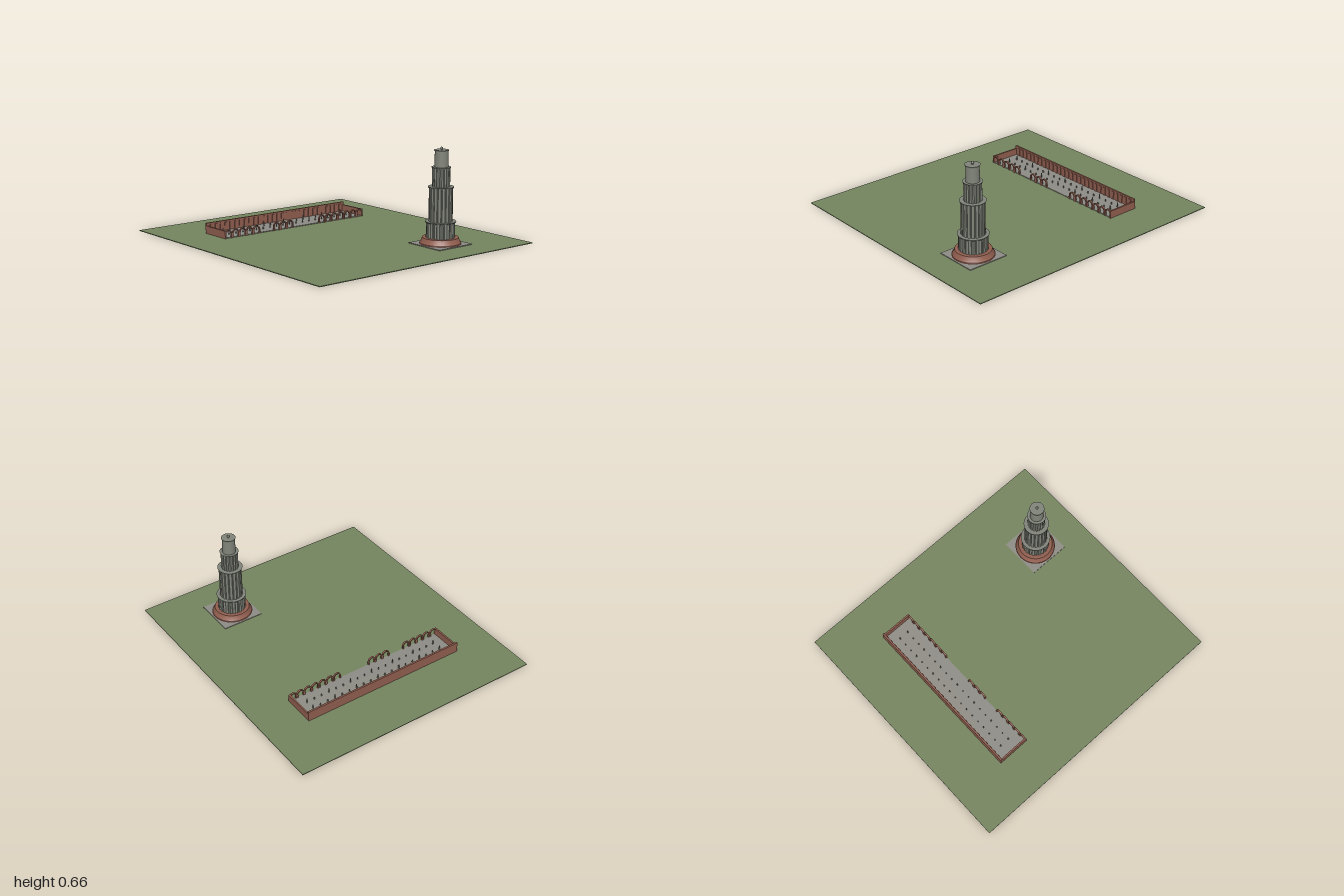
import * as THREE from 'three';

const mat = (name, color, side = THREE.FrontSide) => {
  const m = new THREE.MeshStandardMaterial({ color, side });
  m.name = name;
  return m;
};

export function createModel() {
  const grass = mat('grass', 0x75855f);
  const paving = mat('paving', 0x8f8d86);
  const brick = mat('red sandstone', 0x925f50);
  const stone = mat('tower stone', 0x82857b);

  const model = new THREE.Group();
  const add = (parent, name, geo, material, x = 0, y = 0, z = 0) => {
    const mesh = new THREE.Mesh(geo, material);
    mesh.name = name;
    mesh.position.set(x, y, z);
    parent.add(mesh);
    return mesh;
  };
  const group = (name, x = 0, y = 0, z = 0) => {
    const g = new THREE.Group();
    g.name = name;
    g.position.set(x, y, z);
    model.add(g);
    return g;
  };
  const box = (w, h, d) => new THREE.BoxGeometry(w, h, d);

  const G = 0.005; // top of the lawn
  add(model, 'lawn', box(2, G, 1.824), grass, 0, G / 2, 0);

  // ---- ruined courtyard ----
  const court = group('courtyard', 0, G, 0);
  add(court, 'courtyardFloor', box(0.222, 0.005, 1.21), paving, -0.505, 0.0025, 0);
  add(court, 'rearWall', box(0.013, 0.073, 1.222), brick, -0.6165, 0.0365, 0);
  for (const s of [-1, 1]) {
    add(court, 'endWall', box(0.234, 0.053, 0.012), brick, -0.506, 0.0265, s * 0.605);
  }

  // shallow pilasters along the inside of the rear wall
  for (let i = 0; i < 29; i++) {
    add(court, 'pilaster', box(0.006, 0.062, 0.02), brick, -0.608, 0.031, -0.574 + i * 0.041);
  }

  // free-standing arches, in three surviving runs
  const W = 0.0585, outer = W / 2 - 0.001, inner = outer - 0.008, spring = 0.029;
  const arch = new THREE.Shape();
  arch.moveTo(-outer, 0);
  arch.lineTo(-inner, 0);
  arch.lineTo(-inner, spring);
  arch.absarc(0, spring, inner, Math.PI, 0, true);
  arch.lineTo(inner, 0);
  arch.lineTo(outer, 0);
  arch.lineTo(outer, spring);
  arch.absarc(0, spring, outer, 0, Math.PI, false);
  arch.lineTo(-outer, 0);
  const archGeo = new THREE.ExtrudeGeometry(arch, { depth: 0.012, bevelEnabled: false, curveSegments: 14 });
  archGeo.rotateY(Math.PI / 2);
  for (const [start, count] of [[-0.61, 7], [0.027, 3], [0.317, 5]]) {
    for (let i = 0; i < count; i++) {
      add(court, 'arch', archGeo, brick, -0.401, 0, start + (i + 0.5) * W);
    }
  }

  // two rows of broken columns
  for (const x of [-0.543, -0.473]) {
    for (let i = 0; i < 19; i++) {
      const h = i % 3 === 0 ? 0.032 : 0.016;
      add(court, 'columnStub', new THREE.CylinderGeometry(0.0035, 0.0045, h, 8), stone,
        x, 0.005 + h / 2, -0.523 + i * 0.058);
    }
  }

  // ---- tower ----
  const tower = group('tower', 0.637, 0, -0.408);
  add(tower, 'plinth', box(0.298, 0.005, 0.298), paving, 0, G + 0.0025, 0);

  const lathe = (pts) => new THREE.LatheGeometry(pts.map(([r, y]) => new THREE.Vector2(r, y)), 48);
  add(tower, 'flaredBase', lathe([[0, 0.01], [0.141, 0.01], [0.138, 0.018]]), brick);
  add(tower, 'flaredBaseSlope', lathe([[0.138, 0.018], [0.128, 0.033], [0.121, 0.053]]), brick);
  add(tower, 'flaredBaseTop', lathe([[0.121, 0.053], [0, 0.053]]), brick);

  // fluted drum: rib(t, i) gives the outward bulge across rib i, t from 0 to 1
  const fluted = (r, h, n, depth, rib) => {
    const pts = [], steps = 6;
    for (let i = 0; i < n; i++) {
      for (let k = 0; k < steps; k++) {
        const a = ((i + k / steps) / n) * Math.PI * 2;
        const rr = r - depth + depth * rib(k / steps, i);
        pts.push(new THREE.Vector2(Math.cos(a) * rr, Math.sin(a) * rr));
      }
    }
    const geo = new THREE.ExtrudeGeometry(new THREE.Shape(pts), { depth: h, bevelEnabled: false });
    return geo.rotateX(-Math.PI / 2);
  };
  const round = (t) => Math.sqrt(Math.max(0, 1 - (2 * t - 1) ** 2));
  const wedge = (t) => 1 - Math.abs(2 * t - 1);
  const mixed = (t, i) => (i % 2 ? wedge(t) : round(t));

  // each storey: bottom, top, radius, balcony radius, ribs, rib shape
  const storeys = [
    [0.053, 0.160, 0.097, 0.104, 24, mixed],
    [0.160, 0.392, 0.080, 0.087, 18, round],
    [0.392, 0.523, 0.060, 0.065, 18, wedge],
    [0.523, 0.636, 0.044, 0.050, 0, null],
  ];
  for (const [y0, y1, r, cap, n, rib] of storeys) {
    const h = y1 - y0;
    if (n) add(tower, 'flutedStorey', fluted(r, h, n, r * 0.09, rib), stone, 0, y0, 0);
    else add(tower, 'plainStorey', new THREE.CylinderGeometry(r, r + 0.002, h, 40), stone, 0, y0 + h / 2, 0);
    add(tower, 'balcony', new THREE.CylinderGeometry(cap, cap - 0.003, 0.008, 40), stone, 0, y1 - 0.003, 0);
  }
  add(tower, 'finialStem', new THREE.CylinderGeometry(0.005, 0.006, 0.012, 12), stone, 0, 0.643, 0);
  add(tower, 'finial', new THREE.SphereGeometry(0.009, 14, 10), stone, 0, 0.648, 0);

  return model;
}
